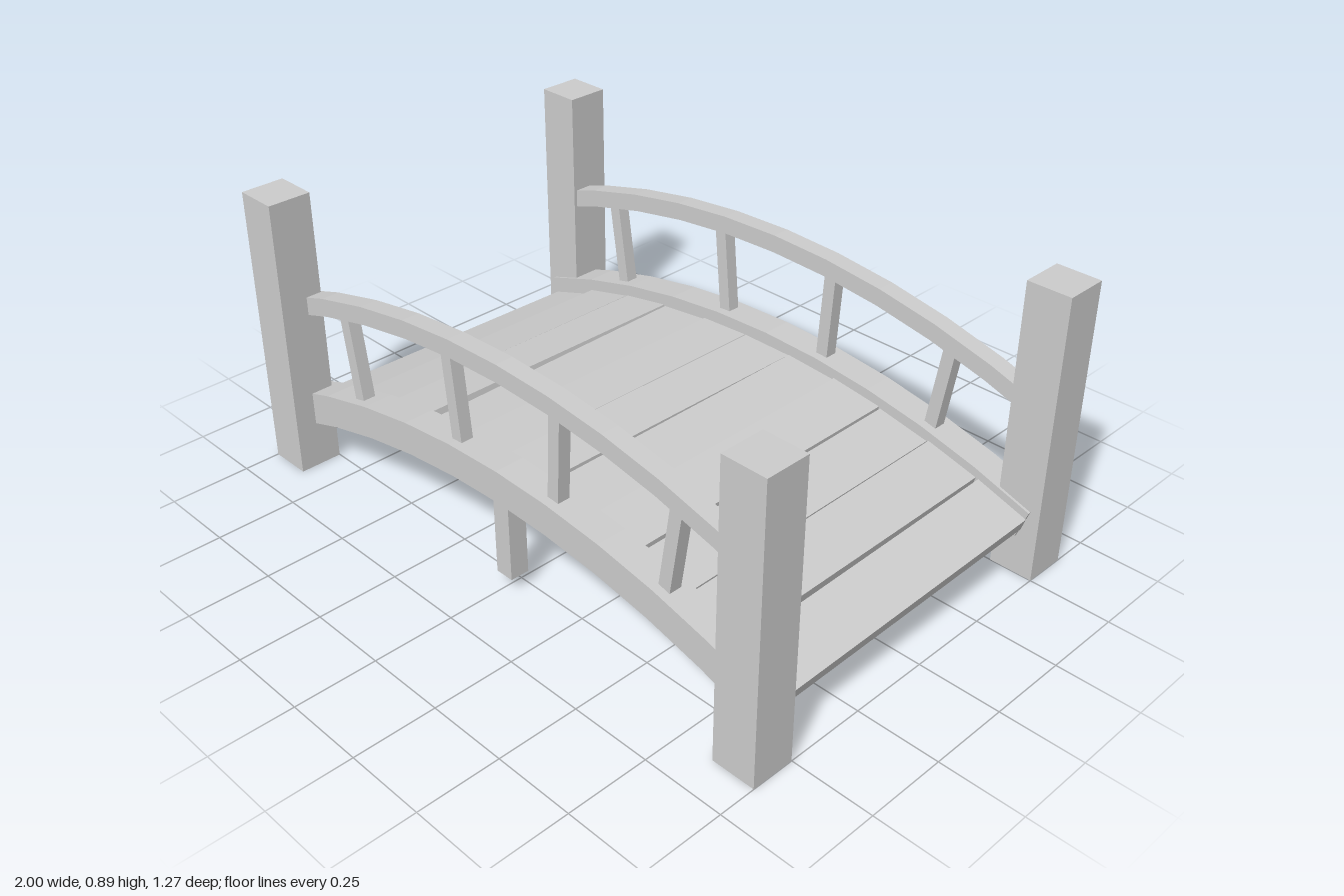
import * as THREE from 'three';

const R = 2.8; // radius shared by all the arches
const drop = (x) => R - Math.sqrt(R * R - x * x);

export function createModel() {
  const model = new THREE.Group();
  model.name = 'archedFootbridge';
  const material = new THREE.MeshStandardMaterial({ color: 0xcccccc, flatShading: true });

  const add = (name, geometry, x, y, z) => {
    const mesh = new THREE.Mesh(geometry, material);
    mesh.name = name;
    mesh.position.set(x, y, z);
    model.add(mesh);
    return mesh;
  };
  const box = (name, w, h, d, x, y, z) => add(name, new THREE.BoxGeometry(w, h, d), x, y, z);

  // Arched timber: a faceted ring sector, its top at height topY in the middle
  const arch = (name, topY, height, depth, z) => {
    const segments = 10, half = Math.asin(0.97 / R);
    const outer = [], inner = [];
    for (let i = 0; i <= segments; i++) {
      const a = -half + (2 * half * i) / segments;
      const point = (r) => new THREE.Vector2(Math.sin(a) * r, Math.cos(a) * r - R);
      outer.push(point(R));
      inner.unshift(point(R - height));
    }
    const shape = new THREE.Shape([...outer, ...inner]);
    const geometry = new THREE.ExtrudeGeometry(shape, { depth, bevelEnabled: false });
    geometry.translate(0, 0, -depth / 2);
    return add(name, geometry, 0, topY, z);
  };

  // Bottom and top x of the leaning balusters
  const balusters = [[-0.65, -0.695], [-0.195, -0.225], [0.195, 0.212], [0.6, 0.645]];

  for (const side of [1, -1]) {
    const z = side > 0 ? 0.522 : -0.54;

    // Corner posts
    for (const x of [-0.932, 0.932]) box('cornerPost', 0.135, 0.89, 0.135, x, 0.445, side * 0.568);

    // Side beam, handrail and centre leg
    arch('sideBeam', 0.39, 0.1, 0.096, z);
    arch('handrail', 0.71, 0.055, 0.057, z);
    box('centreLeg', 0.06, 0.27, 0.06, 0.005, 0.18, side * 0.533);

    // Balusters between beam and handrail
    for (const [x0, x1] of balusters) {
      const y0 = 0.37 - drop(x0), y1 = 0.675 - drop(x1);
      const mesh = box('baluster', 0.04, Math.hypot(x1 - x0, y1 - y0), 0.04,
        (x0 + x1) / 2, (y0 + y1) / 2, z);
      mesh.rotation.z = -Math.atan2(x1 - x0, y1 - y0);
    }
  }

  // Deck planks, each laid a little unevenly: height offset at front and back
  const offsets = [
    [-0.008, -0.022], [0, -0.006], [0.004, -0.004], [-0.018, -0.008], [0.002, -0.004],
    [0.004, -0.004], [-0.006, -0.002], [0, 0.004], [-0.008, 0], [-0.004, 0.006], [-0.012, 0.008],
  ];
  offsets.forEach(([front, back], i) => {
    const x = 0.006 + (i - 5) * 0.174;
    const y = 0.334 - drop(x) + (front + back) / 2;
    const plank = box('deckPlank', 0.173, 0.042, 0.97, x, y, -0.006);
    plank.rotation.set(-Math.atan2(front - back, 0.97), 0, -Math.asin(x / R));
  });

  return model;
}
